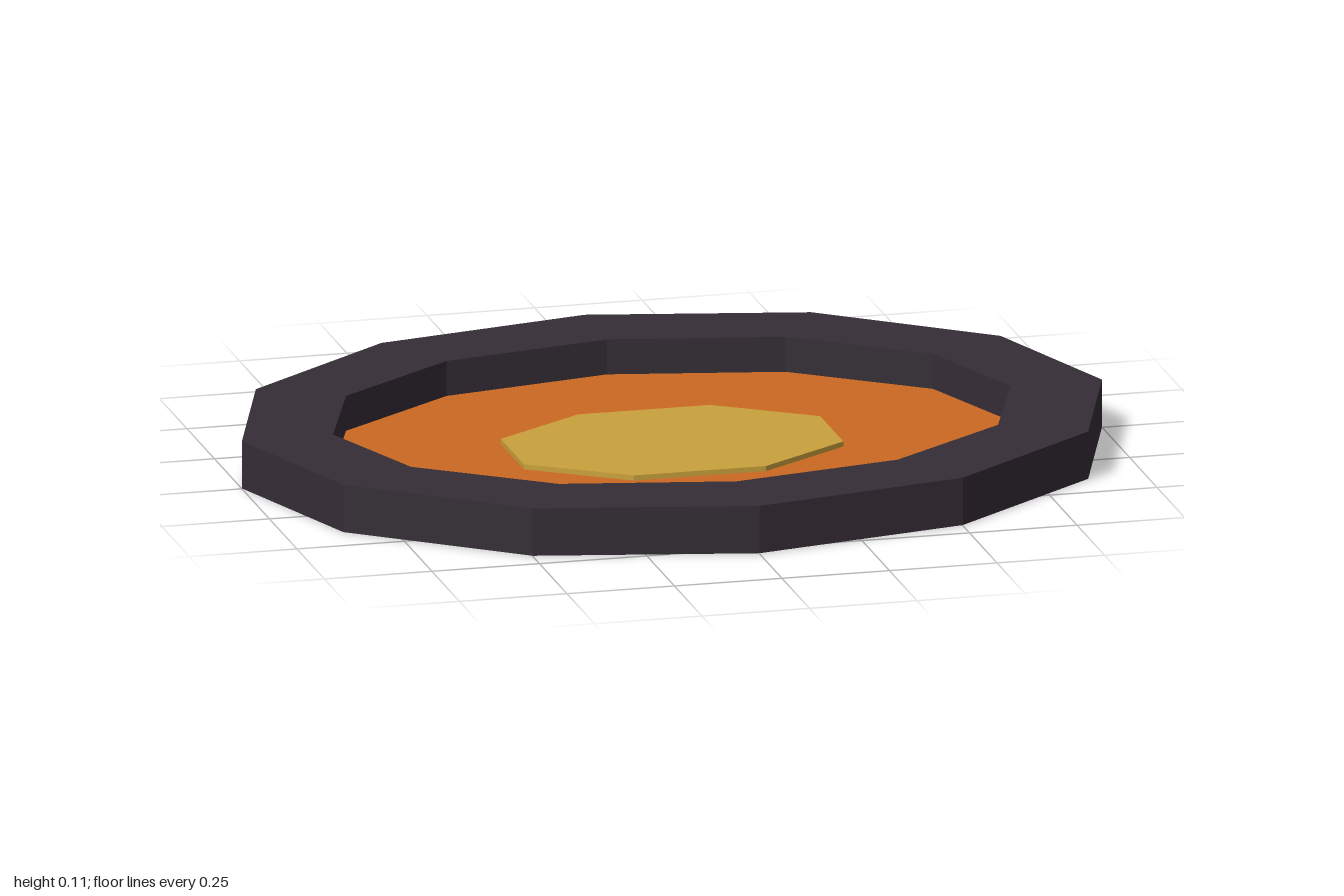
import * as THREE from 'three';

// Corner points of a regular polygon stretched to half-widths rx and rz
function ovalPoints(sides, rx, rz, turn = 0) {
  return Array.from({ length: sides }, (_, i) => {
    const a = ((i + turn) / sides) * Math.PI * 2;
    return new THREE.Vector2(Math.cos(a) * rx, Math.sin(a) * rz);
  });
}

// Flat slab lying on the ground plane, from y = bottom to y = top
function slab(name, points, bottom, top, material, hole) {
  const shape = new THREE.Shape(points);
  if (hole) shape.holes.push(new THREE.Path(hole));
  const geometry = new THREE.ExtrudeGeometry(shape, { depth: top - bottom, bevelEnabled: false });
  geometry.rotateX(-Math.PI / 2);
  geometry.translate(0, bottom, 0);
  const mesh = new THREE.Mesh(geometry, material);
  mesh.name = name;
  return mesh;
}

export function createModel() {
  const darkStone = new THREE.MeshStandardMaterial({ color: 0x352d36 });
  const orange = new THREE.MeshStandardMaterial({ color: 0xcb6922 });
  const yellow = new THREE.MeshStandardMaterial({ color: 0xcaa23c });
  darkStone.name = 'darkStone';
  orange.name = 'orange';
  yellow.name = 'yellow';

  const group = new THREE.Group();
  group.name = 'pool';
  group.add(
    // Raised twelve-sided rim, its underside just clear of the pool floor
    slab('rim', ovalPoints(12, 1, 0.795), 0.001, 0.112, darkStone, ovalPoints(12, 0.788, 0.59)),
    // Sunken surface, tucked slightly under the rim
    slab('poolSurface', ovalPoints(12, 0.84, 0.64), 0, 0.03, orange),
    // Eight-sided bright centre
    slab('hotCentre', ovalPoints(8, 0.402, 0.275, 0.5), 0.02, 0.042, yellow),
  );
  return group;
}
